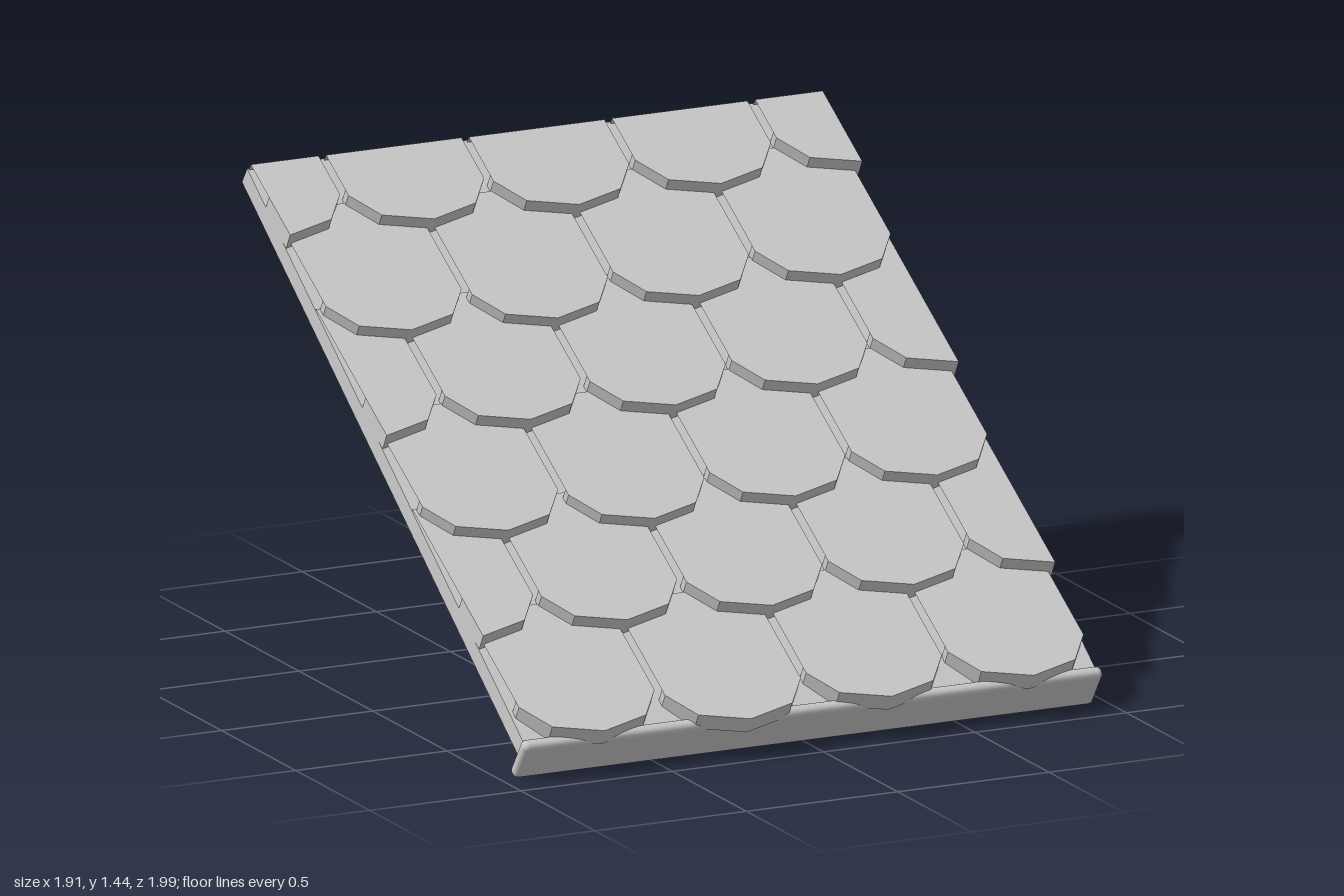
import * as THREE from 'three';
import { RoundedBoxGeometry } from 'three/addons/geometries/RoundedBoxGeometry.js';

const HALF = 0.945;        // half width of the roof
const LENGTH = 2.275;      // length down the slope
const PITCH = THREE.MathUtils.degToRad(35);
const TILT = THREE.MathUtils.degToRad(5.5);  // each tile lies a little flatter than the roof
const TILE = 0.224;        // half width of a tile
const LIP = 0.165;         // length of the thick lower end of a tile

export function createModel() {
  const model = new THREE.Group();
  model.name = 'roofPanel';
  const stone = new THREE.MeshStandardMaterial({ color: 0xcccccc, side: THREE.DoubleSide });
  stone.name = 'light grey';

  // Sloped frame: +z runs down the slope, +y stands off the roof surface
  const roof = new THREE.Group();
  roof.name = 'slopedRoof';
  roof.position.set(0, 1.433, -0.963);
  roof.rotation.x = PITCH;
  model.add(roof);

  const add = (parent, name, geometry, x, y, z) => {
    const mesh = new THREE.Mesh(geometry, stone);
    mesh.name = name;
    mesh.position.set(x, y, z);
    parent.add(mesh);
    return mesh;
  };

  // Base board, eaves board and the three braces underneath
  add(roof, 'baseBoard', new THREE.BoxGeometry(HALF * 2, 0.061, LENGTH), 0, -0.0305, LENGTH / 2);
  add(roof, 'eavesBoard', new RoundedBoxGeometry(1.915, 0.145, 0.04, 4, 0.018), 0, -0.0555, 2.296);
  for (const x of [-0.62, 0, 0.62]) {
    add(roof, 'brace', new RoundedBoxGeometry(0.09, 0.12, 0.51, 4, 0.03), x, -0.105, 1.995);
  }

  // One tile, its tip at the group origin, trimmed at the sides of the roof
  function addTile(cx, tip, length) {
    const tile = new THREE.Group();
    tile.name = 'tile';
    tile.position.set(cx, 0.058, tip);
    tile.rotation.x = -TILT;
    roof.add(tile);
    const x0 = Math.max(-TILE, -HALF - cx);
    const x1 = Math.min(TILE, HALF - cx);

    // Thick lip with its faceted lower edge
    const edge = [[-TILE, -0.14], [-0.155, -0.043], [0, 0], [0.155, -0.043], [TILE, -0.14]]
      .filter(([x]) => x >= x0 - 0.001 && x <= x1 + 0.001);
    const outline = [[x0, -LIP], ...edge, [x1, -LIP]].map(([x, y]) => new THREE.Vector2(x, y));
    const lip = new THREE.ExtrudeGeometry(new THREE.Shape(outline), { depth: 0.055, bevelEnabled: false });
    lip.rotateX(Math.PI / 2);
    add(tile, 'tileLip', lip, 0, 0, 0);

    // Thin upper field, folded down at its back edge
    const field = new THREE.PlaneGeometry(x1 - x0, length - LIP).rotateX(-Math.PI / 2);
    add(tile, 'tileField', field, (x0 + x1) / 2, 0, -(length + LIP) / 2);
    const back = new THREE.PlaneGeometry(x1 - x0, 0.022).rotateY(Math.PI);
    add(tile, 'tileBack', back, (x0 + x1) / 2, -0.011, -length);
  }

  // Six staggered courses, slightly uneven along their lower edges
  const uneven = [[-0.015, -0.006, 0.01, 0, -0.015], [0, 0.026, 0.01, 0]];
  for (let row = 0; row < 6; row++) {
    const tip = 0.33 + row * 0.398;
    uneven[row % 2].forEach((shift, i, list) => {
      const x = (i - (list.length - 1) / 2) * HALF / 2;
      addTile(x, tip + shift, row === 0 ? tip + shift - 0.008 : 0.55);
    });
  }
  return model;
}
